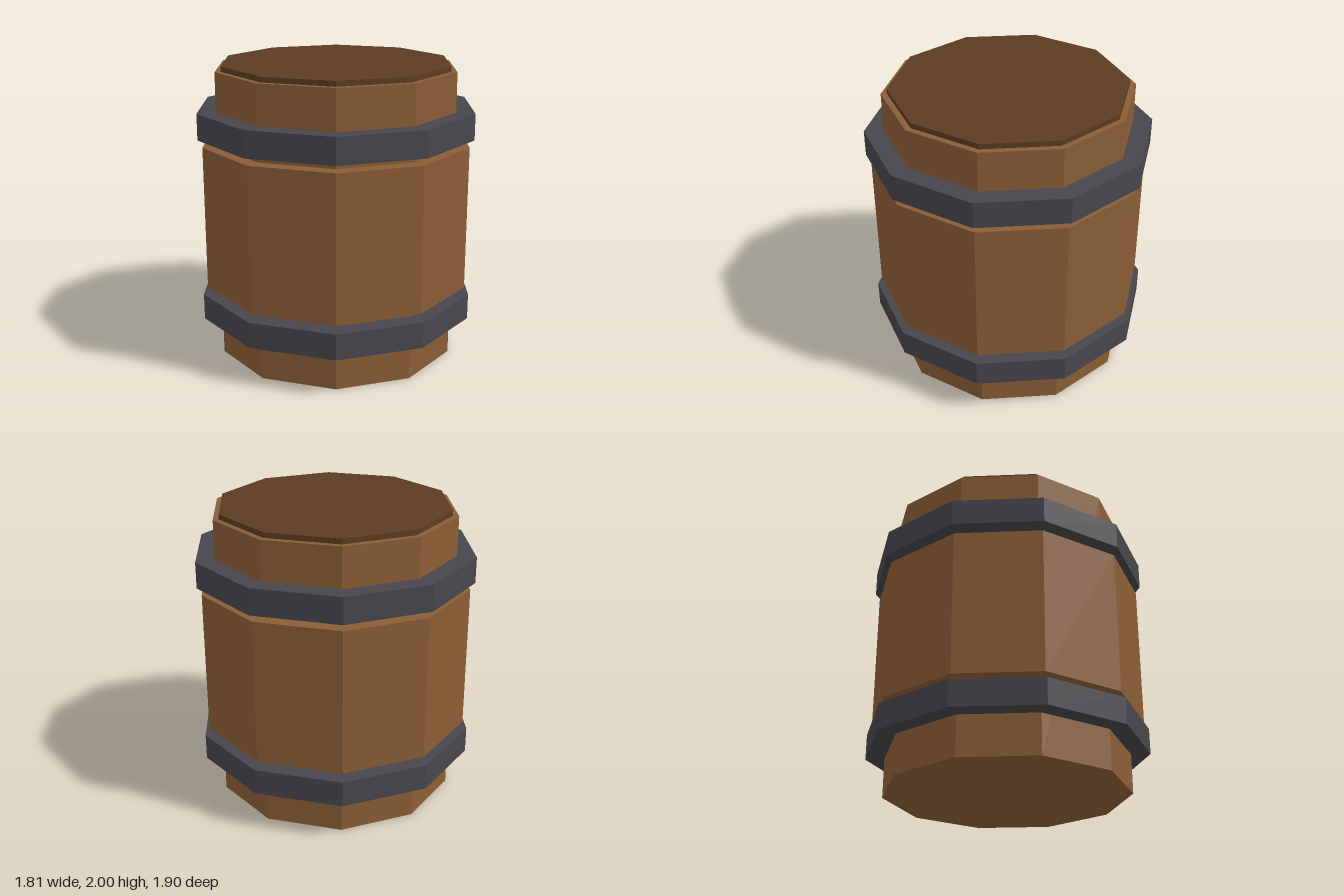
import * as THREE from 'three';

const SIDES = 10;

function material(name, color) {
  const m = new THREE.MeshStandardMaterial({ color });
  m.name = name;
  return m;
}

// Ten-sided prism with a corner facing front, spanning y0 to y1
function prism(name, radius, y0, y1, mat) {
  const geometry = new THREE.CylinderGeometry(radius, radius, y1 - y0, SIDES).toNonIndexed();
  geometry.computeVertexNormals(); // flat facets
  const mesh = new THREE.Mesh(geometry, mat);
  mesh.name = name;
  mesh.position.y = (y0 + y1) / 2;
  return mesh;
}

export function createModel() {
  const wood = material('wood', 0x8b5e36);
  const darkWood = material('dark wood', 0x5b3c22);
  const iron = material('iron', 0x47464c);

  const barrel = new THREE.Group();
  barrel.name = 'barrel';
  barrel.add(
    prism('body', 0.822, 0, 1.965, wood),
    prism('belly', 0.92, 0.493, 1.472, wood),
    prism('lid', 0.782, 1.92, 2, darkWood),
    prism('lowerHoop', 0.95, 0.268, 0.444, iron),
    prism('upperHoop', 0.95, 1.524, 1.7, iron)
  );
  return barrel;
}
